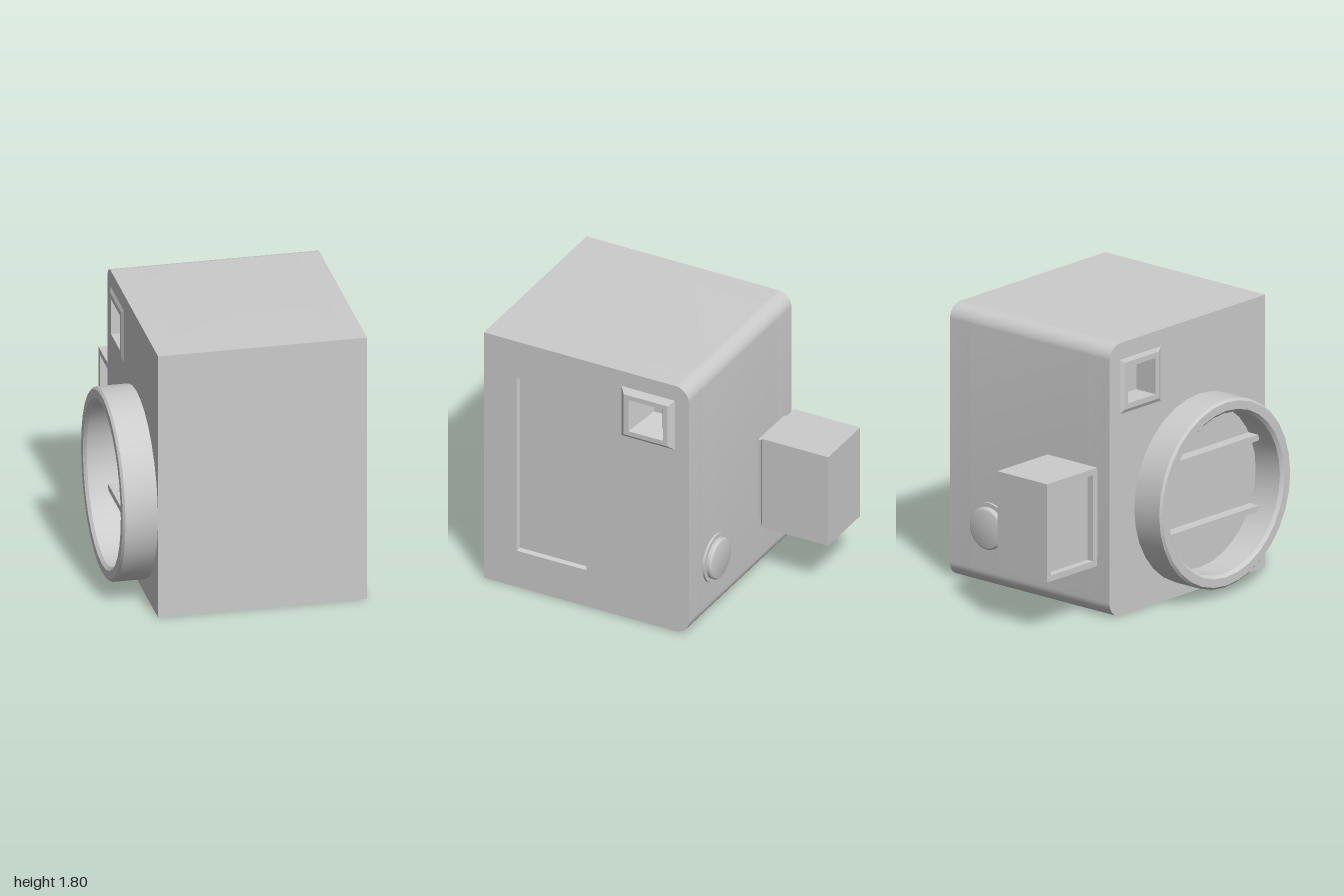
import * as THREE from 'three';
import { toCreasedNormals } from 'three/addons/utils/BufferGeometryUtils.js';

const material = new THREE.MeshStandardMaterial({ color: 0xcccccc });

function add(group, name, geometry, x = 0, y = 0, z = 0) {
  const mesh = new THREE.Mesh(geometry, material);
  mesh.name = name;
  mesh.position.set(x, y, z);
  group.add(mesh);
  return mesh;
}

// Joins rectangles [x, half z, half y] along x and caps the last one; dir is the way it faces
function rectLoft(rings, dir = 1) {
  const corners = [[1, -1], [-1, -1], [-1, 1], [1, 1]];
  if (dir < 0) corners.reverse();
  const pos = [];
  const at = (i, j) => {
    const [x, hz, hy] = rings[i], [cz, cy] = corners[j % 4];
    return [x, cy * hy, cz * hz];
  };
  const quad = (a, b, c, d) => pos.push(...a, ...b, ...c, ...a, ...c, ...d);
  for (let i = 0; i < rings.length - 1; i++)
    for (let j = 0; j < 4; j++) quad(at(i, j), at(i, j + 1), at(i + 1, j + 1), at(i + 1, j));
  const n = rings.length - 1;
  quad(at(n, 0), at(n, 1), at(n, 2), at(n, 3));
  const g = new THREE.BufferGeometry();
  g.setAttribute('position', new THREE.Float32BufferAttribute(pos, 3));
  g.computeVertexNormals();
  return g;
}

function lathe(points, segments) {
  const g = new THREE.LatheGeometry(points.map(p => new THREE.Vector2(...p)), segments);
  return toCreasedNormals(g, 0.5);
}

// Body outline seen from the side (u = -z), rounded at the back, with rectangular holes
function bodySlice(x0, x1, holes = []) {
  const r = 0.1, back = 0.475, h = 1.8;
  const s = new THREE.Shape();
  s.moveTo(-1, 0);
  s.lineTo(back - r, 0);
  s.absarc(back - r, r, r, -Math.PI / 2, 0, false);
  s.lineTo(back, h - r);
  s.absarc(back - r, h - r, r, 0, Math.PI / 2, false);
  s.lineTo(-1, h);
  for (const [z, y, hz, hy] of holes) {
    s.holes.push(new THREE.Path([[-1, -1], [-1, 1], [1, 1], [1, -1]]
      .map(([a, b]) => new THREE.Vector2(-z + a * hz, y + b * hy))));
  }
  const g = new THREE.ExtrudeGeometry(s, { depth: x1 - x0, bevelEnabled: false, curveSegments: 8 });
  g.rotateY(Math.PI / 2).translate(x0, 0, 0);
  return toCreasedNormals(g, 0.6);
}

export function createModel() {
  const model = new THREE.Group();
  model.name = 'camera';
  const left = 0.77, right = -0.58;
  const winZ = -0.183, winY = 1.51, doorZ = 0.513, doorY = 0.898;

  // Body: a solid core between two side slabs with openings
  const body = new THREE.Group();
  body.name = 'body';
  model.add(body);
  const windowHole = [winZ, winY, 0.17, 0.16];
  add(body, 'bodyCore', bodySlice(right + 0.18, left - 0.18));
  add(body, 'leftSide', bodySlice(left - 0.18, left, [windowHole, [doorZ, doorY, 0.253, 0.633]]));
  add(body, 'rightSide', bodySlice(right, right + 0.18, [windowHole]));

  // Sunken door panel on the left side
  add(model, 'doorPanel', rectLoft([[left, 0.253, 0.633], [left - 0.03, 0.244, 0.624]]), 0, doorY, doorZ);

  // Viewfinder windows: a funnel on the left, a straight opening on the right
  add(model, 'leftWindow', rectLoft([
    [left, 0.193, 0.18], [left + 0.035, 0.158, 0.147],
    [left + 0.035, 0.125, 0.115], [left - 0.13, 0.03, 0.028]
  ]), 0, winY, winZ);
  add(model, 'rightWindow', rectLoft([
    [right, 0.193, 0.18], [right - 0.012, 0.165, 0.155],
    [right - 0.012, 0.13, 0.12], [right + 0.15, 0.13, 0.12]
  ], -1), 0, winY, winZ);

  // Large open ring on the right side with two ribs across it
  const ring = lathe([[0.62, 0], [0.62, 0.21], [0.605, 0.225], [0.55, 0.225],
    [0.53, 0.205], [0.53, 0]], 32);
  ring.rotateZ(Math.PI / 2);
  add(model, 'sideRing', ring, right, 0.673, 0.38);
  for (const side of [-1, 1]) {
    add(model, 'ringRib', new THREE.BoxGeometry(0.08, 0.04, 0.94), right - 0.04, 0.673 + side * 0.235, 0.38);
  }

  // Eyepiece block on the back: chamfered neck and a box with a sunken right face
  const neck = rectLoft([[0.475, 0.17, 0.285], [0.51, 0.17, 0.285], [0.51, 0.195, 0.305], [0.526, 0.21, 0.325]]);
  neck.rotateY(Math.PI / 2);
  add(model, 'eyepieceNeck', neck, -0.31, 0.675, 0);
  add(model, 'eyepieceBlock', rectLoft([
    [-0.1, 0, 0], [-0.1, 0.2375, 0.325], [-0.52, 0.2375, 0.325],
    [-0.52, 0.2, 0.285], [-0.47, 0.2, 0.285]
  ], -1), 0, 0.675, -0.7625);

  // Round push button on the back
  const button = lathe([[0.165, 0], [0.165, 0.015], [0.138, 0.015], [0.138, 0.035],
    [0.13, 0.045], [0.115, 0.05], [0, 0.05]], 32);
  button.rotateX(-Math.PI / 2);
  add(model, 'button', button, 0.43, 0.395, -0.475);

  return model;
}
